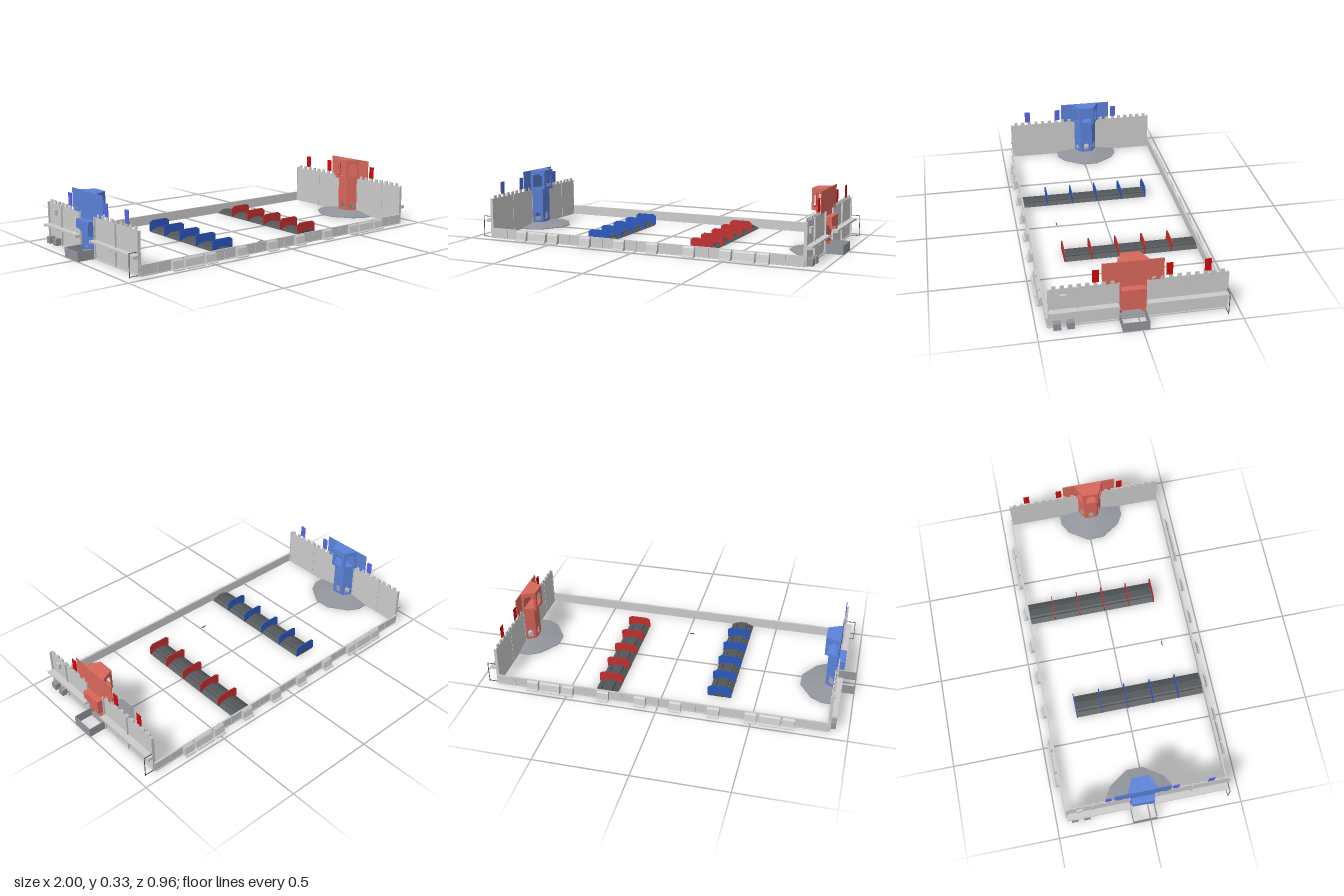
import * as THREE from 'three';

const mat = (color) => new THREE.MeshStandardMaterial({ color, flatShading: true, side: THREE.DoubleSide });
const GREY = mat(0xcccccc), MID = mat(0x92959b), DARK = mat(0x53575a);

function add(parent, name, geometry, material, x = 0, y = 0, z = 0) {
  const mesh = new THREE.Mesh(geometry, material);
  mesh.name = name;
  mesh.position.set(x, y, z);
  parent.add(mesh);
  return mesh;
}

// Box given by its minimum and maximum on each axis
function box(parent, name, material, [x0, x1], [y0, y1], [z0, z1]) {
  return add(parent, name, new THREE.BoxGeometry(x1 - x0, y1 - y0, z1 - z0), material,
    (x0 + x1) / 2, (y0 + y1) / 2, (z0 + z1) / 2);
}

const outline = (pts) => new THREE.Shape(pts.map(([a, b]) => new THREE.Vector2(a, b)));
const extrude = (shape, depth) =>
  new THREE.ExtrudeGeometry(shape, { depth, bevelEnabled: false, curveSegments: 8 });

// Prism standing on y, from an (x, z) outline
function prism(pts, height) {
  return extrude(outline(pts.map(([x, z]) => [x, -z])), height).rotateX(-Math.PI / 2);
}

// Upright thin panel between two floor points, with an arched opening
function archPanel(parent, name, material, a, b, y0, y1, hole) {
  const dx = b[0] - a[0], dz = b[1] - a[1], w = Math.hypot(dx, dz), h = y1 - y0;
  const shape = outline([[0, 0], [w, 0], [w, h], [0, h]]);
  const r = hole.width / 2, c = w / 2;
  const arch = new THREE.Path();
  arch.moveTo(c - r, hole.bottom);
  arch.lineTo(c + r, hole.bottom);
  arch.lineTo(c + r, hole.top - r);
  arch.absarc(c, hole.top - r, r, 0, Math.PI, false);
  arch.lineTo(c - r, hole.bottom);
  shape.holes.push(arch);
  const mesh = add(parent, name, extrude(shape, 0.003), material, a[0], y0, a[1]);
  mesh.rotation.y = Math.atan2(-dz, dx);
}

// Low rail along one long side, with its outer feet
function buildRail(parent) {
  const rail = new THREE.Group();
  rail.name = 'sideRail';
  box(rail, 'railPanel', GREY, [-0.9, 0.9], [0, 0.055], [0.441, 0.445]);
  box(rail, 'railTopEdge', GREY, [-0.9, 0.9], [0.051, 0.055], [0.44, 0.449]);
  box(rail, 'railBottomEdge', GREY, [-0.9, 0.9], [0, 0.004], [0.441, 0.449]);
  for (let i = -4; i <= 4; i++) {
    box(rail, 'railSeam', GREY, [i * 0.2 - 0.003, i * 0.2 + 0.003], [0.004, 0.051], [0.445, 0.448]);
  }
  const foot = outline([[0.445, 0], [0.478, 0], [0.477, 0.005], [0.468, 0.009], [0.461, 0.045],
    [0.455, 0.053], [0.445, 0.053]]);
  for (const side of [-1, 1]) {
    for (const [x, w] of [[0.096, 0.062], [0.3, 0.062], [0.497, 0.062], [0.597, 0.11], [0.695, 0.062]]) {
      const g = extrude(foot, w).translate(0, 0, -w / 2).rotateY(-Math.PI / 2);
      add(rail, 'railFoot', g, GREY, side * x, 0, 0);
    }
  }
  parent.add(rail);
}

// Tall end wall with shelf, crenellated top and small fittings
function buildWall(parent) {
  const wall = new THREE.Group();
  wall.name = 'endWall';
  for (const [z0, z1] of [[-0.44, -0.04], [0.1, 0.44]]) {
    box(wall, 'wallPanel', GREY, [0.894, 0.899], [0, 0.216], [z0, z1]);
    box(wall, 'wallShelf', GREY, [0.899, 0.935], [0.096, 0.1], [z0, z1]);
    box(wall, 'shelfLip', GREY, [0.932, 0.935], [0.092, 0.102], [z0, z1]);
    box(wall, 'bottomEdge', GREY, [0.899, 0.905], [0, 0.006], [z0, z1]);
    const n = Math.floor((z1 - z0) / 0.041);
    for (let i = 0; i < n; i++) {
      const z = z0 + 0.01 + (i + 0.5) * (z1 - z0 - 0.02) / n;
      box(wall, 'wallTooth', GREY, [0.893, 0.9], [0.216, 0.233], [z - 0.01, z + 0.01]);
    }
  }
  for (const z of [-0.437, -0.235, -0.04, 0.1, 0.297, 0.437]) {
    box(wall, 'wallPost', GREY, [0.892, 0.908], [0, 0.218], [z - 0.003, z + 0.003]);
    box(wall, 'shelfBracket', GREY, [0.9, 0.935], [0.085, 0.096], [z - 0.002, z + 0.002]);
  }
  for (const z of [0.334, 0.4]) {
    box(wall, 'floorBox', MID, [0.9, 0.932], [0, 0.036], [z - 0.018, z + 0.018]);
  }
  box(wall, 'controlBox', GREY, [0.899, 0.912], [0.155, 0.185], [0.35, 0.383]);
  // Thin wire frame at one corner
  box(wall, 'cornerFrameUpright', DARK, [0.953, 0.956], [0, 0.12], [-0.438, -0.435]);
  for (const y of [0.004, 0.118]) {
    box(wall, 'cornerFrameBar', DARK, [0.9, 0.956], [y - 0.0015, y + 0.0015], [-0.438, -0.435]);
  }
  parent.add(wall);
}

// Tower with an arched head, backboard, outer chute and low round ramp
function buildTower(parent, paint) {
  const tower = new THREE.Group();
  tower.name = 'tower';
  tower.position.z = 0.03;

  const half = [[0.9, 0.183], [0.836, 0.183], [0.778, 0.15], [0.708, 0.045]];
  const rim = [...half, ...half.map(([x, z]) => [x, -z]).reverse()];
  add(tower, 'rampBase', prism(rim, 0.004), MID);
  // Sloping ramp between the rim and the foot of the tower
  const pos = [];
  const inner = rim.map(([x, z]) => [0.9 + (x - 0.9) * 0.35, z * 0.38]);
  for (let i = 0; i < rim.length - 1; i++) {
    const [a, b, c, d] = [rim[i], rim[i + 1], inner[i + 1], inner[i]];
    const A = [a[0], 0.004, a[1]], B = [b[0], 0.004, b[1]];
    const C = [c[0], 0.022, c[1]], D = [d[0], 0.022, d[1]];
    pos.push(...A, ...C, ...B, ...A, ...D, ...C);
  }
  const slope = new THREE.BufferGeometry();
  slope.setAttribute('position', new THREE.Float32BufferAttribute(pos, 3));
  slope.computeVertexNormals();
  add(tower, 'rampSlope', slope, MID);
  add(tower, 'rampTop', prism(inner, 0.002), MID, 0, 0.02, 0);

  const foot = [[0.897, 0.067], [0.842, 0.036], [0.842, -0.036], [0.897, -0.067]];
  const head = [[0.897, 0.08], [0.822, 0.045], [0.822, -0.045], [0.897, -0.08]];
  for (let i = 0; i < 3; i++) {
    archPanel(tower, 'bodyPanel', paint.tower, foot[i], foot[i + 1], 0.015, 0.225,
      { width: 0.03, bottom: 0.02, top: 0.065 });
    archPanel(tower, 'headPanel', paint.tower, head[i], head[i + 1], 0.222, 0.332,
      { width: 0.054, bottom: 0.012, top: 0.088 });
  }
  add(tower, 'headFloor', prism(head, 0.006), paint.tower, 0, 0.218, 0);
  add(tower, 'headRoof', prism(head, 0.004), paint.tower, 0, 0.328, 0);
  box(tower, 'bodyBack', paint.tower, [0.895, 0.899], [0.05, 0.216], [-0.07, 0.07]);
  box(tower, 'backboard', paint.tower, [0.896, 0.9], [0.215, 0.332], [-0.15, 0.15]);

  // Outer chute with a slanting lower edge
  const chute = outline([[0.06, 0.19], [-0.06, 0.19], [-0.06, 0.113], [-0.032, 0.113],
    [-0.032, 0.13], [0.06, 0.145]]);
  add(tower, 'outerChute', extrude(chute, 0.035).rotateY(-Math.PI / 2), paint.tower, 0.934, 0, 0);

  // Open tray standing outside the wall
  box(tower, 'trayEnd', MID, [0.997, 1], [0, 0.05], [-0.066, 0.066]);
  for (const s of [-1, 1]) {
    const z = s * 0.0645;
    box(tower, 'traySide', MID, [0.899, 1], [0, 0.05], [z - 0.0015, z + 0.0015]);
  }
  parent.add(tower);
}

// Floor barrier: a dark ramped strip crossed by coloured fins
function buildBarrier(parent, paint) {
  const barrier = new THREE.Group();
  barrier.name = 'barrier';
  barrier.position.x = 0.3;
  const strips = [
    [[-0.062, 0], [-0.033, 0], [-0.033, 0.014], [-0.037, 0.014]],
    [[-0.029, 0], [0.029, 0], [0.029, 0.016], [0.02, 0.02], [-0.02, 0.02], [-0.029, 0.016]],
    [[0.033, 0], [0.062, 0], [0.037, 0.014], [0.033, 0.014]],
  ];
  for (const pts of strips) add(barrier, 'barrierStrip', extrude(outline(pts), 0.725), DARK, 0, 0, -0.44);
  const fin = outline([[-0.065, 0.004], [0.065, 0.004], [0.065, 0.053], [0.047, 0.065],
    [-0.047, 0.065], [-0.065, 0.053]]);
  for (let i = 0; i < 5; i++) {
    add(barrier, 'barrierFin', extrude(fin, 0.004), paint.fin, 0, 0, 0.281 - i * 0.145);
  }
  parent.add(barrier);
}

// Everything belonging to one end of the field
function buildHalf(name, paint) {
  const half = new THREE.Group();
  half.name = name;
  buildRail(half);
  buildWall(half);
  buildTower(half, paint);
  buildBarrier(half, paint);
  for (const z of [0.21, -0.147, -0.335]) {
    box(half, 'flag', paint.flag, [0.895, 0.899], [0.233, 0.3], [z - 0.016, z + 0.016]);
  }
  return half;
}

export function createModel() {
  const model = new THREE.Group();
  model.name = 'playingField';
  const red = buildHalf('redHalf', { tower: mat(0xd9675b), fin: mat(0xc42f2f), flag: mat(0xd40808) });
  const blue = buildHalf('blueHalf', { tower: mat(0x5b82d9), fin: mat(0x2a58c0), flag: mat(0x5a68e6) });
  blue.rotation.y = Math.PI;
  model.add(red, blue);
  // Small marker lying on the floor
  box(model, 'floorMarker', DARK, [-0.038, -0.01], [0, 0.004], [0.273, 0.278]);
  return model;
}
